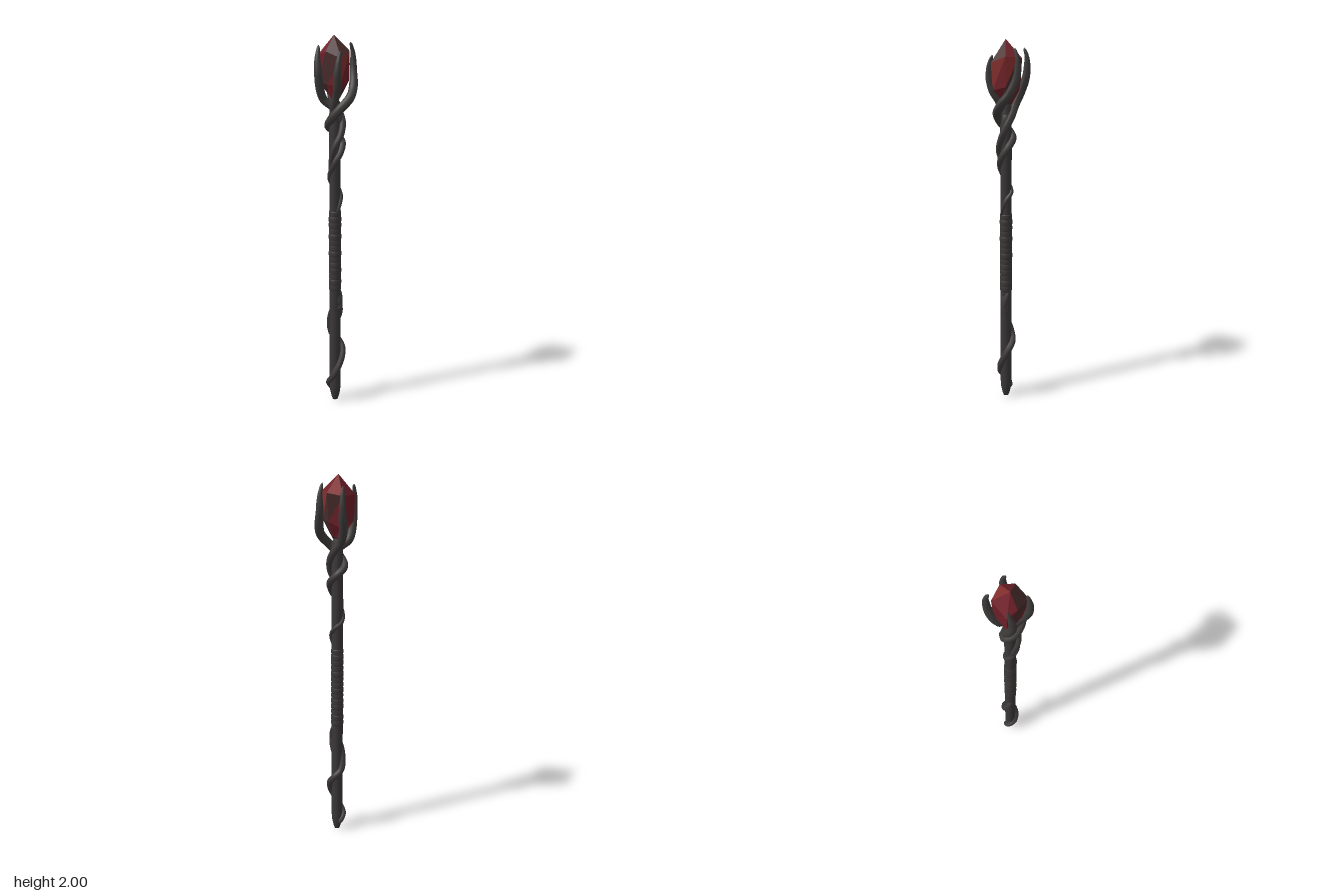
import * as THREE from 'three';

const CX = -0.01, CZ = 0.012; // staff axis

export function createModel() {
  const staff = new THREE.Group();
  staff.name = 'staff';
  const mat = (name, color, flat = false) => {
    const m = new THREE.MeshStandardMaterial({ color });
    m.name = name;
    m.flatShading = flat;
    return m;
  };
  const wood = mat('darkWood', 0x3b3838);
  const vineMat = mat('vineWood', 0x403c3c);
  const leather = mat('gripLeather', 0x3d3939);
  const red = mat('crystalRed', 0x6e2029, true);
  const dark = mat('crystalDark', 0x4a2c2c, true);
  const bright = mat('crystalBright', 0x87302f, true);

  const add = (name, geo, material, x = 0, z = 0) => {
    const m = new THREE.Mesh(geo, material);
    m.name = name;
    m.position.set(x, 0, z);
    staff.add(m);
    return m;
  };
  const lathe = (pts, sides) =>
    new THREE.LatheGeometry(pts.map(p => new THREE.Vector2(p[0], p[1])), sides);

  // Shaft with a blunt, tapered foot
  add('shaft', lathe([[0, 0.005], [0.014, 0.008], [0.02, 0.025], [0.028, 0.06], [0.031, 0.1],
    [0.031, 0.4], [0.03, 1.1], [0.03, 1.5], [0.029, 1.66], [0, 1.7]], 16), wood, CX, CZ);

  // Grip made of bound leather turns
  const gripProfile = [[0.028, 0.65]];
  const turns = 14, step = 0.44 / turns;
  for (let i = 0; i < turns; i++) {
    const y = 0.65 + i * step;
    const r = 0.0335 + 0.0008 * Math.sin(i * 2.3);
    gripProfile.push([r - 0.002, y + 0.001], [r, y + step * 0.25], [r, y + step * 0.8], [r - 0.002, y + step - 0.001]);
  }
  gripProfile.push([0.028, 1.09]);
  add('grip', lathe(gripProfile, 20), leather, CX, CZ);

  // Tapered tube: rings of a plain tube are scaled about the path, ends close to points
  const vine = (name, pts, radii, segments = 90) => {
    const curve = new THREE.CatmullRomCurve3(pts.map(p => new THREE.Vector3(...p)), false, 'centripetal');
    const sides = 9;
    const geo = new THREE.TubeGeometry(curve, segments, 1, sides);
    const pos = geo.attributes.position, v = new THREE.Vector3();
    for (let i = 0; i <= segments; i++) {
      const t = i / segments, c = curve.getPointAt(t);
      const f = t * (radii.length - 1), k = Math.min(Math.floor(f), radii.length - 2);
      let r = THREE.MathUtils.lerp(radii[k], radii[k + 1], f - k);
      const end = Math.min(i, segments - i) / 3;
      if (end < 1) r *= Math.sqrt(1 - (1 - end) ** 2);
      for (let j = 0; j <= sides; j++) {
        const n = i * (sides + 1) + j;
        v.fromBufferAttribute(pos, n).sub(c).multiplyScalar(r).add(c);
        pos.setXYZ(n, v.x, v.y, v.z);
      }
    }
    geo.computeVertexNormals();
    return add(name, geo, vineMat);
  };

  // Back right claw sweeping around the front and coiling down the shaft
  vine('clawVineBackRight', [
    [0.04, 1.965, -0.06], [0.045, 1.91, -0.077], [0.048, 1.83, -0.077], [0.066, 1.74, -0.045],
    [0.07, 1.685, 0], [0.035, 1.63, 0.04], [-0.015, 1.575, 0.044], [-0.047, 1.535, 0.015],
    [-0.025, 1.5, -0.02], [0.018, 1.455, -0.015], [0.027, 1.4, 0.02], [0.005, 1.35, 0.04],
    [-0.03, 1.28, 0.03], [-0.036, 1.24, 0.005], [-0.01, 1.21, -0.018], [0.018, 1.17, -0.002],
    [0.02, 1.12, 0.018], [0.005, 1.07, 0.03]],
  [0.006, 0.018, 0.023, 0.024, 0.022, 0.02, 0.018, 0.015, 0.013, 0.011, 0.008], 150);

  // Back left claw coiling the other strand
  vine('clawVineBackLeft', [
    [-0.07, 1.955, -0.06], [-0.074, 1.91, -0.073], [-0.073, 1.82, -0.072], [-0.065, 1.73, -0.045],
    [-0.045, 1.67, -0.025], [-0.005, 1.615, -0.022], [0.025, 1.56, -0.005], [0.03, 1.5, 0.02],
    [0.01, 1.44, 0.043], [-0.012, 1.38, 0.042], [-0.025, 1.3, 0.03], [-0.034, 1.25, 0.01],
    [-0.015, 1.22, -0.01]],
  [0.006, 0.017, 0.022, 0.022, 0.02, 0.018, 0.017, 0.015, 0.012, 0.008], 130);

  // Front claws
  vine('clawFrontRight', [
    [0.048, 1.925, 0.058], [0.047, 1.88, 0.074], [0.043, 1.81, 0.08], [0.034, 1.745, 0.066],
    [0.014, 1.69, 0.042], [-0.01, 1.64, 0.032], [-0.02, 1.58, 0.025]],
  [0.006, 0.015, 0.02, 0.021, 0.02, 0.018, 0.012], 70);
  vine('clawFrontLeft', [
    [-0.08, 1.95, 0.055], [-0.077, 1.89, 0.072], [-0.07, 1.81, 0.078], [-0.072, 1.73, 0.058],
    [-0.066, 1.675, 0.032], [-0.035, 1.645, 0.015], [0.005, 1.61, 0.005], [0.015, 1.55, 0.005]],
  [0.006, 0.016, 0.021, 0.022, 0.022, 0.02, 0.016], 80);

  // Lower vine wound about the foot
  vine('lowerVine', [
    [0.004, 0.65, -0.008], [0.018, 0.6, 0.002], [0.016, 0.55, 0.015], [-0.01, 0.55, 0.026],
    [-0.03, 0.51, 0.025], [-0.042, 0.45, 0.014], [-0.042, 0.39, -0.006], [-0.012, 0.35, -0.026],
    [0.018, 0.31, -0.018], [0.028, 0.26, 0.006], [0.016, 0.2, 0.034], [-0.012, 0.145, 0.044],
    [-0.043, 0.105, 0.026], [-0.042, 0.075, 0.005], [-0.028, 0.05, -0.008]],
  [0.01, 0.013, 0.015, 0.017, 0.018, 0.018, 0.018, 0.016, 0.013], 110);
  vine('lowerShoot', [[0, 0.65, 0.012], [0.016, 0.59, 0.014], [0.02, 0.54, 0.004], [0.006, 0.48, -0.008]],
    [0.012, 0.014, 0.012, 0.008], 30);

  // Faceted crystal: irregular six-sided rings between two points
  const outline = [[0.062, -0.02], [0.06, 0.068], [-0.03, 0.07], [-0.09, 0.06], [-0.07, -0.055], [0.012, -0.068]];
  const levels = [[1.685, 0.35], [1.755, 0.86], [1.905, 0.97]];
  const rings = levels.map(([y, s], l) => outline.map(([x, z], k) => {
    const wob = 1 + 0.05 * Math.sin(k * 2.1 + l * 1.7);
    return [CX + (x - CX) * s * wob, y + 0.018 * Math.sin(k * 2.6 + l), CZ + (z - CZ) * s * wob];
  }));
  const tip = [-0.014, 2, 0.015], foot = [CX, 1.665, CZ];
  const faces = [[], [], []]; // red, dark, bright
  const n = outline.length;
  for (let k = 0; k < n; k++) {
    const m = (k + 1) % n;
    faces[[1, 1, 0, 0, 2, 0][k]].push(rings[2][m], rings[2][k], tip);
    faces[1].push(rings[0][k], rings[0][m], foot);
    for (let l = 0; l < 2; l++) {
      const a = rings[l][k], b = rings[l][m], c = rings[l + 1][k], d = rings[l + 1][m];
      faces[(k + l) % 3 === 0 ? 1 : 0].push(a, c, b);
      faces[(k * 2 + l) % 5 === 1 ? 2 : (k + l) % 3 === 2 ? 1 : 0].push(b, c, d);
    }
  }
  const crystalGeo = new THREE.BufferGeometry();
  let start = 0;
  faces.forEach((list, i) => {
    crystalGeo.addGroup(start, list.length, i);
    start += list.length;
  });
  crystalGeo.setAttribute('position', new THREE.Float32BufferAttribute(faces.flat(2), 3));
  // Turn any inward facet outward
  const p = crystalGeo.attributes.position, mid = new THREE.Vector3(CX, 1.83, CZ);
  for (let i = 0; i < p.count; i += 3) {
    const [a, b, c] = [0, 1, 2].map(j => new THREE.Vector3().fromBufferAttribute(p, i + j));
    const normal = b.clone().sub(a).cross(c.clone().sub(a));
    if (normal.dot(a.clone().sub(mid)) < 0) {
      p.setXYZ(i + 1, c.x, c.y, c.z);
      p.setXYZ(i + 2, b.x, b.y, b.z);
    }
  }
  crystalGeo.computeVertexNormals();
  add('crystal', crystalGeo, [red, dark, bright]);

  return staff;
}
